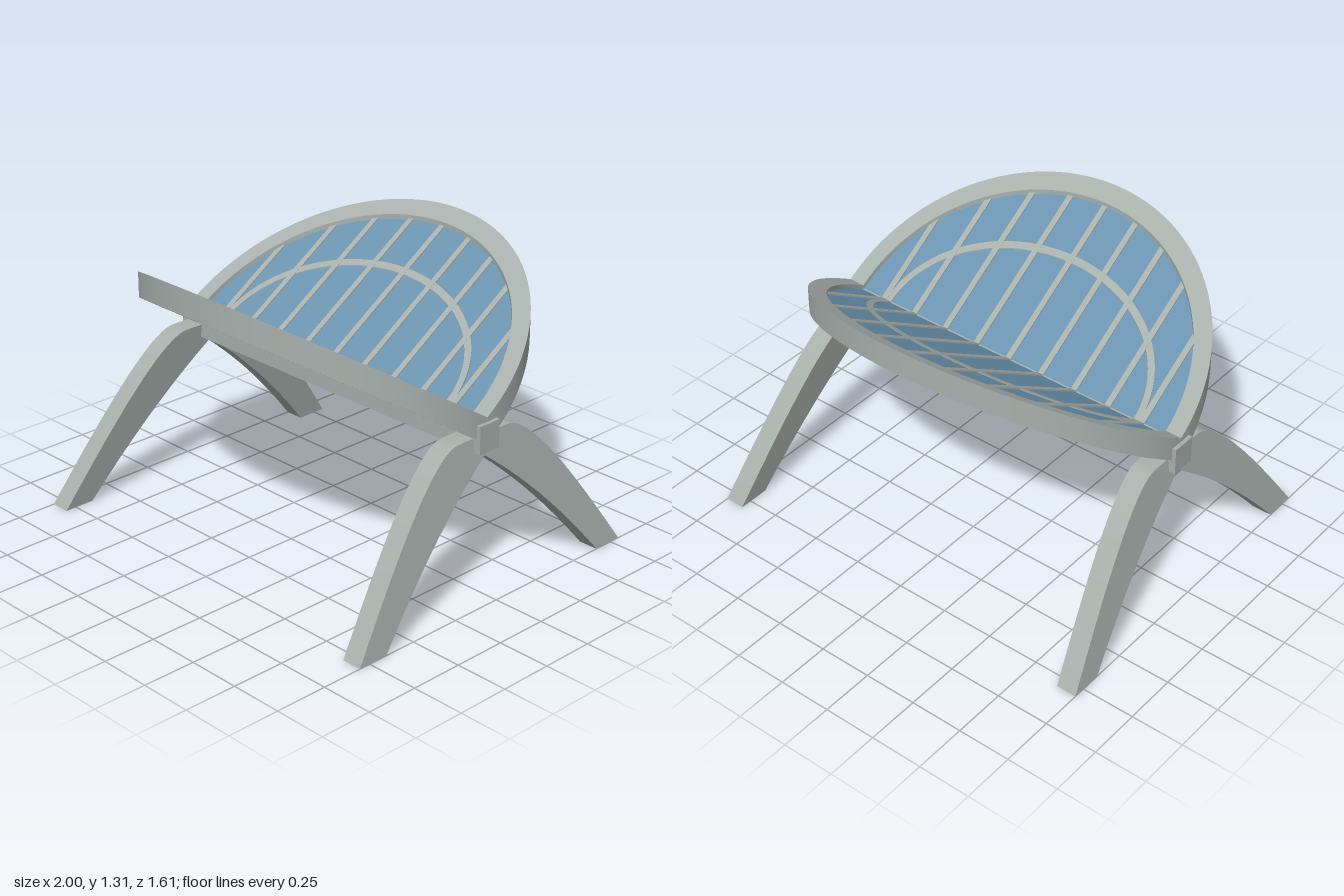
import * as THREE from 'three';
import { toCreasedNormals } from 'three/addons/utils/BufferGeometryUtils.js';

const SLOPE = 0.64; // rise of each roof wing per unit away from the ridge beam

const concrete = new THREE.MeshStandardMaterial({ color: 0xa8b0ac });
concrete.name = 'grey concrete';
const glass = new THREE.MeshStandardMaterial({ color: 0x6b94b0 });
glass.name = 'blue glass';

function mesh(name, geometry, material) {
  const m = new THREE.Mesh(geometry, material);
  m.name = name;
  return m;
}

// Moves every vertex by a rule, then restores normals with sharp edges.
function reshape(geometry, rule) {
  const p = geometry.attributes.position;
  for (let i = 0; i < p.count; i++) {
    p.setXYZ(i, ...rule(p.getX(i), p.getY(i), p.getZ(i)));
  }
  geometry.computeVertexNormals();
  return toCreasedNormals(geometry, 0.5);
}

// Half ellipse outline, optionally hollowed to a band.
function halfEllipse(rx, rz, innerX, innerZ) {
  const s = new THREE.Shape();
  s.absellipse(0, 0, rx, rz, 0, Math.PI, false, 0);
  if (innerX) {
    s.lineTo(-innerX, 0);
    s.absellipse(0, 0, innerX, innerZ, Math.PI, 0, true, 0);
  }
  s.closePath();
  return s;
}

// Plan shape extruded upward between two heights and sheared to the roof slope.
function sloped(shape, bottom, top) {
  const g = new THREE.ExtrudeGeometry(shape, { depth: top - bottom, bevelEnabled: false, curveSegments: 48 });
  return reshape(g, (x, s, d) => [x, bottom + d + SLOPE * s, -s]);
}

function createWing(name) {
  const wing = new THREE.Group();
  wing.name = name;
  wing.add(mesh('rim', sloped(halfEllipse(0.918, 0.765, 0.84, 0.685), 0.7, 0.82), concrete));
  wing.add(mesh('glassPane', sloped(halfEllipse(0.85, 0.695), 0.772, 0.797), glass));
  wing.add(mesh('curvedRib', sloped(halfEllipse(0.705, 0.46, 0.675, 0.43), 0.715, 0.803), concrete));

  // straight ribs running from the beam to the rim
  for (let i = -4; i <= 4; i++) {
    const x = i * 0.179;
    const end = 0.7 * Math.sqrt(1 - (x / 0.86) ** 2);
    const s = new THREE.Shape();
    s.moveTo(x - 0.014, 0);
    s.lineTo(x + 0.014, 0);
    s.lineTo(x + 0.014, end);
    s.lineTo(x - 0.014, end);
    s.closePath();
    wing.add(mesh('straightRib', sloped(s, 0.717, 0.804), concrete));
  }
  return wing;
}

// Arched pair of feet that leans inward as it rises.
function createLegArch(name) {
  const s = new THREE.Shape();
  s.moveTo(0.805, 0);
  s.bezierCurveTo(0.58, 0.33, 0.3, 0.735, 0.15, 0.735);
  s.lineTo(-0.15, 0.735);
  s.bezierCurveTo(-0.3, 0.735, -0.58, 0.33, -0.805, 0);
  s.lineTo(-0.655, 0);
  s.quadraticCurveTo(-0.33, 0.4, 0, 0.645);
  s.quadraticCurveTo(0.33, 0.4, 0.655, 0);
  s.closePath();
  const g = new THREE.ExtrudeGeometry(s, { depth: 0.095, bevelEnabled: false, curveSegments: 24 });
  return mesh(name, reshape(g, (u, y, w) => [0.905 + w - 0.14 * y, y, -u]), concrete);
}

export function createModel() {
  const model = new THREE.Group();
  model.name = 'pavilion';

  // roof wings rising to the back and the front
  const backWing = createWing('backWing');
  const frontWing = createWing('frontWing');
  frontWing.rotation.y = Math.PI;

  // supporting arches at both ends
  const leftArch = createLegArch('leftLegArch');
  const rightArch = createLegArch('rightLegArch');
  rightArch.rotation.y = Math.PI;

  // central beam
  const beam = mesh('ridgeBeam', new THREE.BoxGeometry(1.87, 0.128, 0.116), concrete);
  beam.position.y = 0.736;

  model.add(backWing, frontWing, leftArch, rightArch, beam);
  return model;
}
